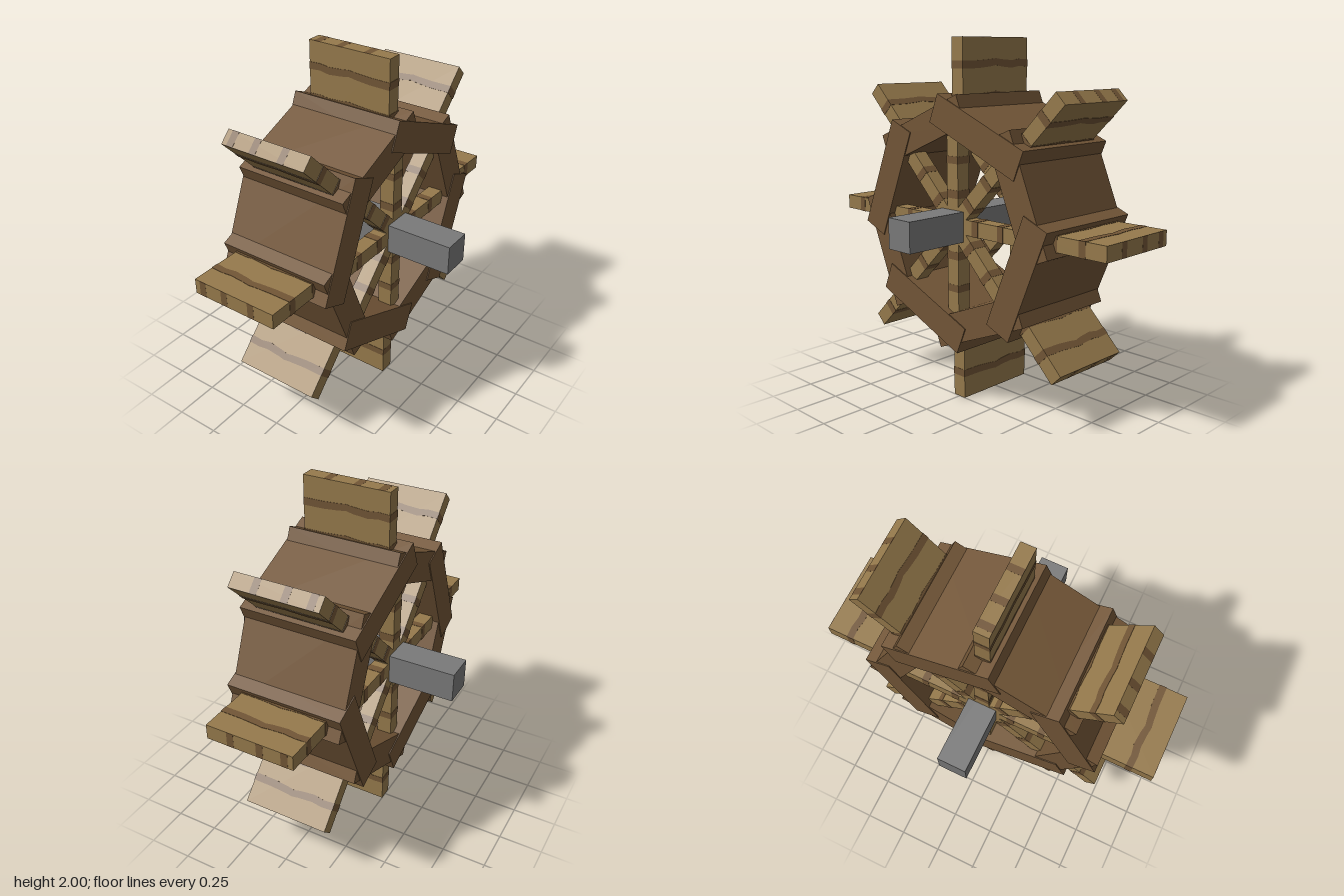
import * as THREE from 'three';

const U = 1 / 12; // modelling unit

function material(name, color) {
  const m = new THREE.MeshStandardMaterial({ color });
  m.name = name;
  return m;
}

export function createModel() {
  const lightWood = material('light wood', 0x967a4c);
  const grainWood = material('grain wood', 0x725636);
  const rimWood = material('rim wood', 0x735637);
  const stone = material('grey axle', 0x7a7a7a);

  const wheel = new THREE.Group();
  wheel.name = 'waterWheel';
  wheel.position.y = 1;

  const add = (parent, name, geometry, mat, x = 0, y = 0, z = 0) => {
    const mesh = new THREE.Mesh(geometry, mat);
    mesh.name = name;
    mesh.position.set(x, y, z);
    parent.add(mesh);
    return mesh;
  };
  const box = (w, h, d) => new THREE.BoxGeometry(w, h, d);

  // Square axle
  add(wheel, 'axle', box(2 * U, 2 * U, 16 * U), stone);

  // Rim: eight overlapping boards, every other one slightly narrower
  for (let i = 0; i < 8; i++) {
    const a = (22.5 + 45 * i) * Math.PI / 180;
    const r = 6.5 * U;
    const width = i % 2 ? 8 * U : 7.86 * U;
    const board = add(wheel, 'rimBoard', box(2 * U, 8 * U, width), rimWood,
      r * Math.cos(a), r * Math.sin(a));
    board.rotation.z = a;
  }

  // Wavy grain band wrapped round a paddle
  const edge = [[-3.02, 0], [-1.6, 0.02], [-0.5, 0.12], [0, 0.2], [0.5, 0.1],
    [1.5, 0], [2.2, 0.12], [3.02, 0.06]];
  const band = new THREE.Shape([
    ...edge.map(([z, r]) => new THREE.Vector2(z * U, (r - 0.25) * U)),
    ...edge.slice().reverse().map(([z, r]) => new THREE.Vector2(z * U, (r * 0.7 + 0.25) * U)),
  ]);
  const bandGeometry = new THREE.ExtrudeGeometry(band, { depth: 1.04 * U, bevelEnabled: false });
  bandGeometry.translate(0, 0, -0.52 * U);
  bandGeometry.rotateY(Math.PI / 2);

  // Eight arms: outer paddle plus a front and a back spoke
  for (let i = 0; i < 8; i++) {
    const arm = new THREE.Group();
    arm.name = 'arm';
    arm.rotation.z = i * Math.PI / 4;
    wheel.add(arm);

    add(arm, 'paddle', box(U, 6 * U, 6 * U), lightWood, 0, 9 * U, 0);
    for (const r of [0.855, 0.68]) add(arm, 'paddleGrain', bandGeometry, grainWood, 0, r, 0);
    // Grain on the paddle tip
    for (const z of [-0.2, -0.06, 0.11]) {
      add(arm, 'tipGrain', box(U, 0.004, 0.04), grainWood, 0, 1 - 0.0015, z);
    }

    for (const side of [1, -1]) {
      const z = side * 3 * U;
      add(arm, 'spoke', box(U, 6.2 * U, U), lightWood, 0, 3.1 * U, z);
      add(arm, 'spokeGrain', box(1.04 * U, 0.04, 1.04 * U), grainWood, 0, 0.355, z);
      add(arm, 'spokeGrain', box(1.04 * U, 0.045, 1.04 * U), grainWood, 0, 0.17, z);
    }
  }

  // Hubs where the spokes meet
  for (const side of [1, -1]) {
    const hub = add(wheel, 'hub', new THREE.CylinderGeometry(0.12, 0.12, 0.98 * U, 8), lightWood,
      0, 0, side * 3 * U);
    hub.rotation.x = Math.PI / 2;
  }

  const model = new THREE.Group();
  model.name = 'model';
  model.add(wheel);
  return model;
}
